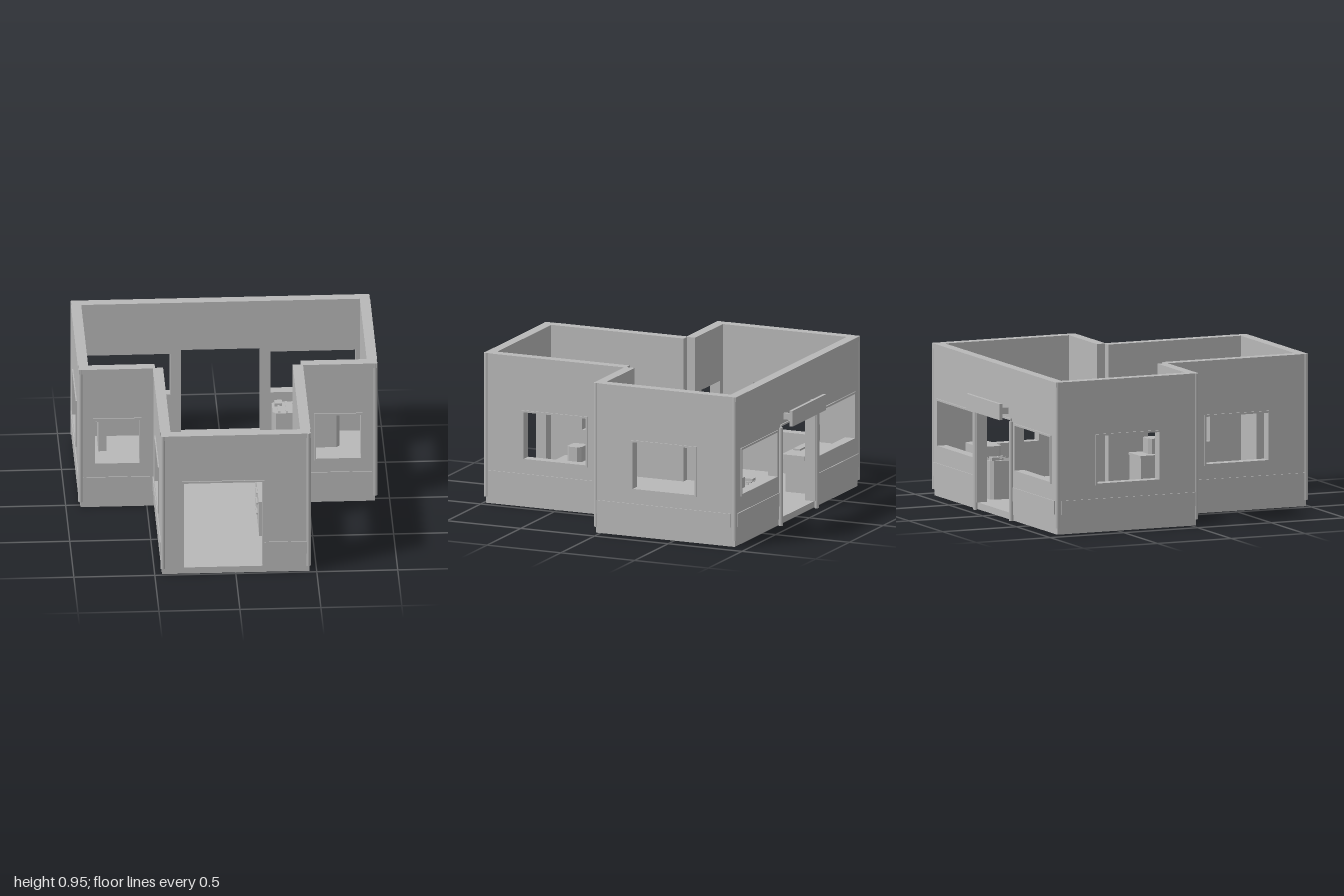
import * as THREE from 'three';

const grey = new THREE.MeshStandardMaterial({ color: 0xb8b8b8 });
grey.name = 'plain grey';

const BASE = 0.04, TOP = 0.95, THICK = 0.06;

function add(parent, name, geometry, x = 0, y = 0, z = 0) {
  const mesh = new THREE.Mesh(geometry, grey);
  mesh.name = name;
  mesh.position.set(x, y, z);
  parent.add(mesh);
  return mesh;
}

// Box given by its lower and upper limits
function span(parent, name, x0, x1, y0, y1, z0, z1) {
  return add(parent, name, new THREE.BoxGeometry(x1 - x0, y1 - y0, z1 - z0),
    (x0 + x1) / 2, (y0 + y1) / 2, (z0 + z1) / 2);
}

function rectPoints(x0, x1, y0, y1) {
  return [[x0, y0], [x1, y0], [x1, y1], [x0, y1]].map(([x, y]) => new THREE.Vector2(x, y));
}

// Block with chamfered upright edges
function chamferBlock(parent, name, x0, x1, y0, y1, z0, z1, c = 0.02) {
  const pts = [[x0 + c, z0], [x1 - c, z0], [x1, z0 + c], [x1, z1 - c],
    [x1 - c, z1], [x0 + c, z1], [x0, z1 - c], [x0, z0 + c]];
  const shape = new THREE.Shape(pts.map(([x, z]) => new THREE.Vector2(x, -z)));
  const geo = new THREE.ExtrudeGeometry(shape, { depth: y1 - y0, bevelEnabled: false });
  geo.rotateX(-Math.PI / 2);
  return add(parent, name, geo, 0, y0, 0);
}

// Wall in local coordinates: u runs along x, the outer face lies on z = 0
function wall(parent, name, { u, pos, turn, windows = [], door, bands = [] }) {
  const g = new THREE.Group();
  g.name = name;
  g.position.set(pos[0], 0, pos[1]);
  g.rotation.y = turn;
  parent.add(g);

  const shape = new THREE.Shape(rectPoints(u[0], u[1], BASE, TOP));
  const openings = door ? [...windows, door] : windows;
  for (const o of openings) shape.holes.push(new THREE.Path(rectPoints(...o)));
  const geo = new THREE.ExtrudeGeometry(shape, { depth: THICK, bevelEnabled: false });
  geo.translate(0, 0, -THICK);
  add(g, 'wallPanel', geo);

  span(g, 'topTrim', u[0], u[1], 0.92, TOP, -0.01, 0.004);
  for (const [a, b] of bands) span(g, 'lowerBand', a, b, 0.125, 0.21, -0.01, 0.006);

  // Raised frames around the openings
  const w = 0.012, out = 0.007;
  for (const o of openings) {
    const [a, b, c, d] = o;
    span(g, 'frameSide', a - w, a, c - (o === door ? 0 : w), d + w, -0.01, out);
    span(g, 'frameSide', b, b + w, c - (o === door ? 0 : w), d + w, -0.01, out);
    span(g, 'frameTop', a, b, d, d + w, -0.01, out);
    if (o !== door) span(g, 'windowSill', a, b, c - w, c, -0.01, out);
  }
}

function buildShell(model) {
  // T-shaped floor slab
  const outline = [[-0.91, -0.91], [0.91, -0.91], [0.91, 0.03], [0.455, 0.03],
    [0.455, 0.985], [-0.455, 0.985], [-0.455, 0.03], [-0.91, 0.03]];
  const shape = new THREE.Shape(outline.map(([x, z]) => new THREE.Vector2(x, -z)));
  const floor = new THREE.ExtrudeGeometry(shape, { depth: 0.045, bevelEnabled: false });
  floor.rotateX(-Math.PI / 2);
  add(model, 'floorSlab', floor);

  wall(model, 'frontWall', {
    u: [-0.46, 0.46], pos: [0, 0.993], turn: 0,
    door: [-0.32, 0.165, 0.046, 0.625], bands: [[0.178, 0.44]],
  });
  wall(model, 'backWall', {
    u: [-0.92, 0.92], pos: [0, -0.92], turn: Math.PI,
    door: [-0.245, 0.245, 0.046, 0.625],
    windows: [[-0.835, -0.31, 0.32, 0.6], [0.31, 0.835, 0.32, 0.6]],
    bands: [[-0.895, -0.28], [0.28, 0.895]],
  });

  for (const s of [-1, 1]) {
    // Mirrors a range along the wall for the opposite side
    const m = (a, b, ...rest) => (s > 0 ? [a, b, ...rest] : [-b, -a, ...rest]);
    const turn = s * Math.PI / 2;
    wall(model, 'hallSideWall', {
      u: m(-0.933, -0.035), pos: [s * 0.46, 0], turn,
      windows: [m(-0.725, -0.305, 0.305, 0.6)], bands: [m(-0.97, -0.05)],
    });
    wall(model, 'wingEndWall', {
      u: m(0.02, 0.86), pos: [s * 0.92, 0], turn,
      windows: [m(0.225, 0.645, 0.305, 0.6)], bands: [m(-0.02, 0.89)],
    });
    wall(model, 'wingFrontWall', {
      u: m(0.45, 0.92), pos: [0, 0.04], turn: 0,
      windows: [m(0.545, 0.82, 0.305, 0.6)], bands: [m(0.467, 0.895)],
    });

    // Corner posts
    for (const [x, z] of [[0.909, -0.909], [0.909, 0.029], [0.449, 0.984]]) {
      const post = new THREE.CylinderGeometry(0.016, 0.016, TOP - BASE, 12);
      add(model, 'cornerPost', post, s * x, (TOP + BASE) / 2, z);
    }
    // Posts beside the back door and sign brackets
    const doorPost = new THREE.CylinderGeometry(0.014, 0.014, 0.62, 12);
    add(model, 'doorPost', doorPost, s * 0.264, 0.31, -0.928);
    span(model, 'signBracket', s * 0.198 - 0.009, s * 0.198 + 0.009, 0.66, 0.7, -0.982, -0.915);
  }
  span(model, 'signBoard', -0.25, 0.25, 0.63, 0.73, -1, -0.98);
}

function buildCounter(model) {
  const g = new THREE.Group();
  g.name = 'counter';
  model.add(g);
  span(g, 'cabinet', 0.166, 0.335, 0.045, 0.265, 0.15, 0.575);
  span(g, 'counterTop', 0.163, 0.34, 0.265, 0.28, 0.145, 0.58);
  for (const y of [0.11, 0.18, 0.25]) span(g, 'drawerHandle', 0.157, 0.168, y - 0.005, y + 0.005, 0.32, 0.4);
  chamferBlock(g, 'counterBox', 0.21, 0.32, 0.28, 0.375, 0.225, 0.352);
  chamferBlock(g, 'counterBox', 0.21, 0.32, 0.28, 0.375, 0.408, 0.503);
}

function buildDesk(model) {
  const g = new THREE.Group();
  g.name = 'desk';
  model.add(g);
  chamferBlock(g, 'deskTop', -0.785, -0.39, 0.255, 0.285, -0.8, -0.635, 0.012);
  for (const x of [-0.765, -0.46]) span(g, 'deskLeg', x, x + 0.05, 0.045, 0.255, -0.785, -0.65);
  span(g, 'keyboard', -0.66, -0.52, 0.285, 0.295, -0.7, -0.652);
  span(g, 'monitorFoot', -0.625, -0.555, 0.285, 0.293, -0.775, -0.735);
  span(g, 'monitorNeck', -0.602, -0.578, 0.29, 0.34, -0.768, -0.756);
  span(g, 'monitor', -0.675, -0.505, 0.325, 0.425, -0.765, -0.75);
}

function buildMachine(model) {
  const g = new THREE.Group();
  g.name = 'machine';
  model.add(g);
  chamferBlock(g, 'machineBody', 0.312, 0.725, 0.045, 0.285, -0.8, -0.635);
  chamferBlock(g, 'machineHood', 0.487, 0.722, 0.285, 0.35, -0.798, -0.64, 0.025);
  for (const x of [0.352, 0.4, 0.445]) span(g, 'slat', x - 0.007, x + 0.007, 0.28, 0.292, -0.79, -0.645);
  span(g, 'controlBox', 0.328, 0.374, 0.28, 0.305, -0.785, -0.735);
}

export function createModel() {
  const model = new THREE.Group();
  model.name = 'openBuilding';
  buildShell(model);
  buildCounter(model);
  buildDesk(model);
  buildMachine(model);
  return model;
}
